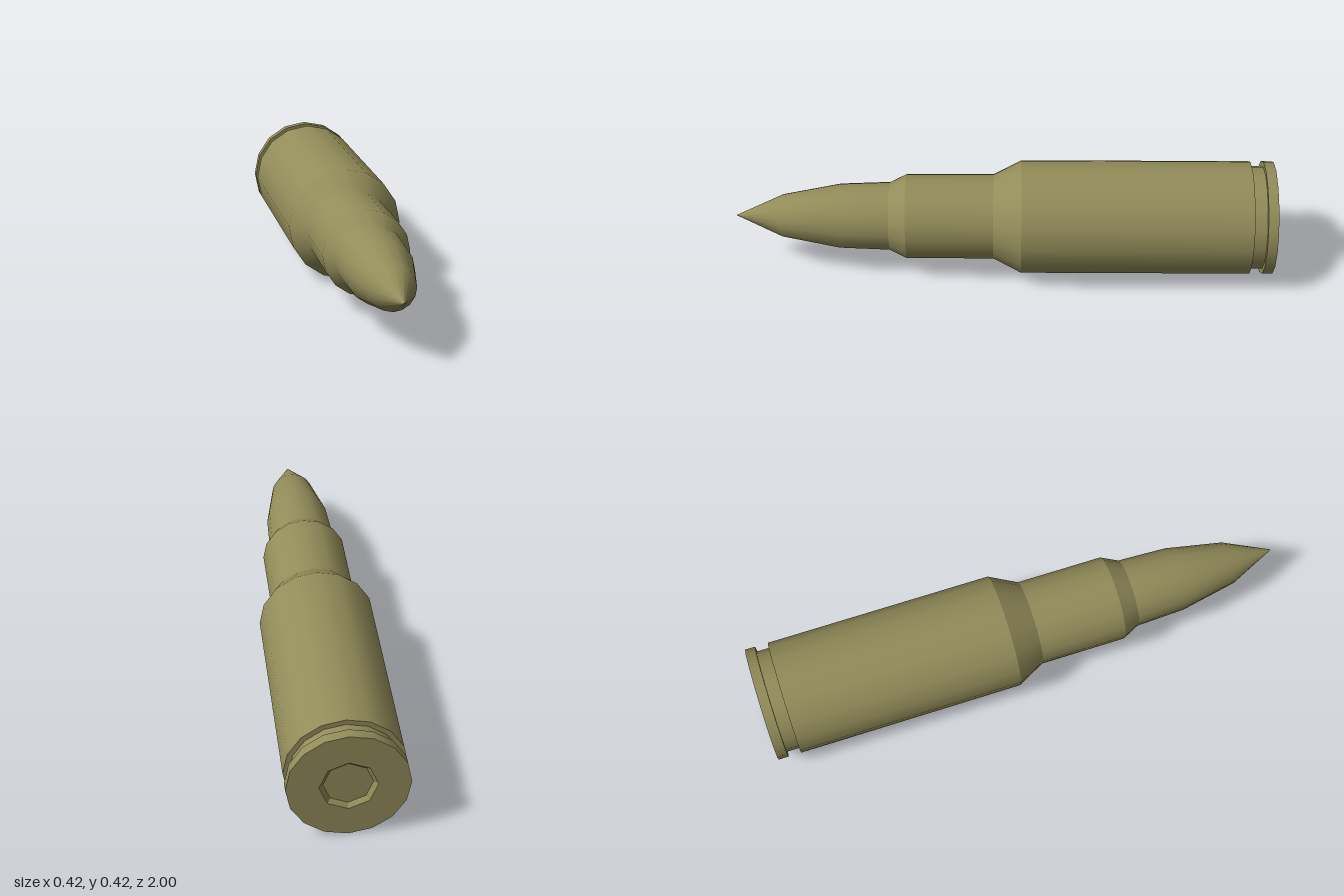
import * as THREE from 'three';

const SIDES = 16;
const AXIS_Y = 0.212;

export function createModel() {
  const group = new THREE.Group();
  group.name = 'cartridge';
  const brass = new THREE.MeshStandardMaterial({ color: 0x938d5a });
  brass.name = 'dull brass';

  function add(name, geometry) {
    const mesh = new THREE.Mesh(geometry, brass);
    mesh.name = name;
    mesh.position.y = AXIS_Y;
    group.add(mesh);
  }

  // Turned band along z, from [radius, z] pairs running back to front
  function turned(points, sides = SIDES) {
    const profile = points.map(([r, z]) => new THREE.Vector2(r, z));
    return new THREE.LatheGeometry(profile, sides).rotateX(Math.PI / 2);
  }

  function polygon(radius, sides) {
    return Array.from({ length: sides }, (_, i) => {
      const a = (i / sides) * Math.PI * 2;
      return new THREE.Vector2(Math.cos(a) * radius, Math.sin(a) * radius);
    });
  }

  // Case, one band per part so that each edge stays sharp
  const bands = [
    ['rim', [0.212, -1], [0.212, -0.962]],
    ['rimFrontFace', [0.212, -0.962], [0.193, -0.962]],
    ['extractorGroove', [0.193, -0.962], [0.193, -0.914]],
    ['bodyBackFace', [0.193, -0.914], [0.212, -0.914]],
    ['caseBody', [0.212, -0.914], [0.212, -0.065]],
    ['shoulder', [0.212, -0.065], [0.159, 0.038]],
    ['neck', [0.159, 0.038], [0.159, 0.362]],
    ['neckTaper', [0.159, 0.362], [0.128, 0.425]],
  ];
  for (const [name, ...points] of bands) add(name, turned(points));

  // Pointed bullet
  add('bullet', turned([[0.128, 0.425], [0.121, 0.61], [0.08, 0.825], [0, 1]]));

  // Base plate with an eight-sided primer pocket
  const plate = new THREE.Shape(polygon(0.212, SIDES));
  plate.holes.push(new THREE.Path(polygon(0.1, 8)));
  add('basePlate', new THREE.ShapeGeometry(plate).rotateY(Math.PI).translate(0, 0, -1));

  const pocket = turned([[0.085, -0.985], [0.1, -1]], 8).toNonIndexed();
  pocket.computeVertexNormals();
  add('primerPocket', pocket);
  add('primer', new THREE.CircleGeometry(0.085, 8).rotateY(Math.PI).translate(0, 0, -0.985));

  return group;
}
